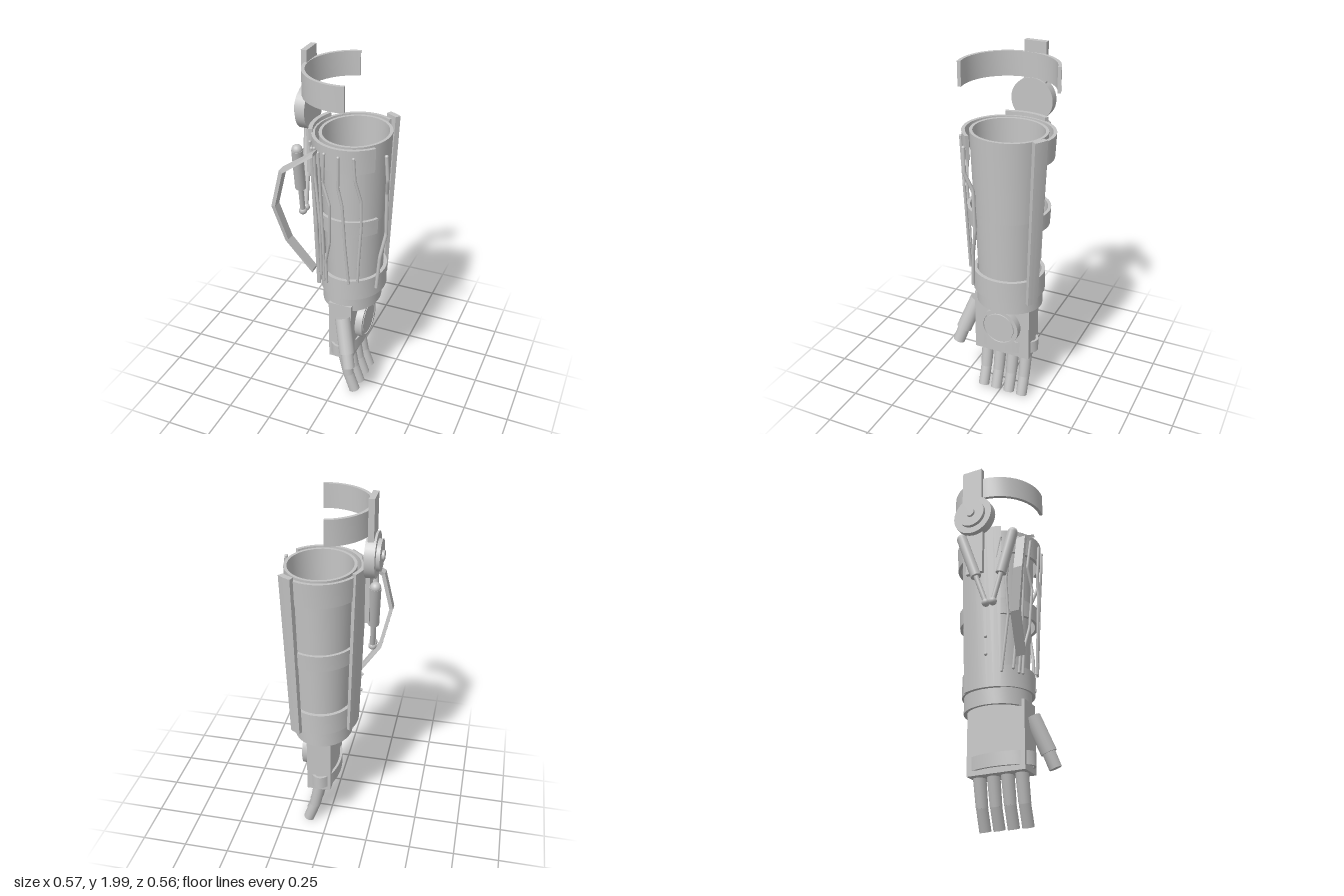
import * as THREE from 'three';
import { toCreasedNormals } from 'three/addons/utils/BufferGeometryUtils.js';

const CX = 0.055, CZ = -0.03;
const grey = new THREE.MeshStandardMaterial({ color: 0xc3c3c3 });
grey.name = 'plain grey';

// Taper of the forearm: 1 at the elbow end, smaller at the wrist
const taper = (y, low = 0.82) => low + (1 - low) * (y - 0.7) / 0.91;

export function createModel() {
  const model = new THREE.Group();
  model.name = 'mechanicalForearm';

  function add(name, geometry, x = 0, y = 0, z = 0) {
    const mesh = new THREE.Mesh(geometry, grey);
    mesh.name = name;
    mesh.position.set(x, y, z);
    model.add(mesh);
    return mesh;
  }

  function box(name, x0, x1, y0, y1, z0, z1) {
    add(name, new THREE.BoxGeometry(x1 - x0, y1 - y0, z1 - z0),
      (x0 + x1) / 2, (y0 + y1) / 2, (z0 + z1) / 2);
  }

  // Elliptical shell standing upright; angles in degrees, 0 = +x, 90 = +z
  function shell(name, { rx, rz, t, y0, y1, a0 = 0, a1 = 360, low = 1, cx = CX, cz = CZ }) {
    const full = a1 - a0 >= 360;
    const n = Math.max(6, Math.round((a1 - a0) / 9));
    const arc = (d) => Array.from({ length: full ? n : n + 1 }, (_, i) => {
      const a = THREE.MathUtils.degToRad(a0 + (a1 - a0) * i / n);
      return new THREE.Vector2((rx - d) * Math.cos(a), -(rz - d) * Math.sin(a));
    });
    const inner = arc(t).reverse();
    const shape = new THREE.Shape(full ? arc(0) : [...arc(0), ...inner]);
    if (full) shape.holes.push(new THREE.Path(inner));
    const geo = new THREE.ExtrudeGeometry(shape, { depth: y1 - y0, bevelEnabled: false });
    geo.rotateX(-Math.PI / 2);
    const p = geo.attributes.position;
    for (let i = 0; i < p.count; i++) {
      const y = p.getY(i) + y0, s = taper(y, low);
      p.setXYZ(i, cx + p.getX(i) * s, y, cz + p.getZ(i) * s);
    }
    add(name, toCreasedNormals(geo, 0.6));
  }

  // Straight cylinder between two points
  function rod(name, a, b, r, r2 = r, sides = 16) {
    const from = new THREE.Vector3(...a), to = new THREE.Vector3(...b);
    const dir = to.clone().sub(from);
    const mesh = add(name, new THREE.CylinderGeometry(r2, r, dir.length(), sides));
    mesh.position.copy(from).addScaledVector(dir, 0.5);
    mesh.quaternion.setFromUnitVectors(new THREE.Vector3(0, 1, 0), dir.normalize());
  }
  const ball = (name, p, r) => add(name, new THREE.SphereGeometry(r, 16, 12), ...p);

  // Forearm sleeve in two lengths
  shell('lowerSleeve', { rx: 0.182, rz: 0.2, t: 0.015, y0: 0.7, y1: 1.16, low: 0.82 });
  shell('upperSleeve', { rx: 0.185, rz: 0.203, t: 0.016, y0: 1.16, y1: 1.61, low: 0.82 });

  // Open bands around the sleeve
  shell('upperBand', { rx: 0.222, rz: 0.243, t: 0.018, y0: 1.48, y1: 1.61, a0: 41, a1: 302, low: 0.82 });
  shell('middleBand', { rx: 0.222, rz: 0.243, t: 0.018, y0: 1.11, y1: 1.2, a0: 32, a1: 302, low: 0.82 });

  // Wrist rings
  shell('lowerRing', { rx: 0.18, rz: 0.198, t: 0.02, y0: 0.7, y1: 0.82, cx: 0.05 });
  shell('wristRing', { rx: 0.16, rz: 0.185, t: 0.016, y0: 0.61, y1: 0.7, cx: 0.042 });

  // Long curved plates at the side and the back
  shell('sidePlate', { rx: 0.236, rz: 0.256, t: 0.022, y0: 0.69, y1: 1.63, a0: 153, a1: 210, low: 0.88 });
  shell('backPlate', { rx: 0.262, rz: 0.266, t: 0.03, y0: 0.69, y1: 1.63, a0: 291, a1: 308, low: 0.82 });
  for (const y of [0.87, 0.97]) ball('rivet', [-0.158 - (y - 0.87) * 0.04, y, 0], 0.009);

  // Upper arm cuff, hinge and bars
  shell('armCuff', { rx: 0.255, rz: 0.258, t: 0.018, y0: 1.81, y1: 1.94, a0: 78, a1: 256, cx: 0.045, cz: -0.022 });
  box('cuffBar', -0.225, -0.195, 1.7, 2, -0.12, 0);
  box('hingeBar', -0.208, -0.185, 1.34, 1.7, -0.1, 0);
  const hinge = [['hingeDisc', -0.237, -0.185, 0.116], ['hingeCap', -0.257, -0.237, 0.08],
    ['hingePin', -0.27, -0.257, 0.025]];
  for (const [name, x0, x1, r] of hinge) {
    rod(name, [x0, 1.695, -0.049], [x1, 1.695, -0.049], r, r, 40);
  }

  // Two struts meeting low on the side
  const struts = [
    [[-0.238, 1.55, -0.11], [-0.21, 1.14, 0.025]],
    [[-0.18, 1.55, 0.17], [-0.208, 1.14, 0.065]],
  ];
  for (const [a, b] of struts) {
    const mid = a.map((v, i) => v + (b[i] - v) * 0.6);
    ball('strutTopJoint', a, 0.028);
    rod('strutCylinder', a, mid, 0.029);
    rod('strutRod', mid, b, 0.014);
    ball('strutEndJoint', b, 0.022);
  }

  // Bowed flat handle: profile extruded, then bulged forward
  const outer = [[-0.06, 1.585], [-0.235, 1.47], [-0.285, 1.26], [-0.235, 1.04], [-0.1, 0.85]];
  const inner = [[-0.095, 0.872], [-0.217, 1.05], [-0.265, 1.26], [-0.217, 1.457], [-0.06, 1.565]];
  const handle = new THREE.ExtrudeGeometry(
    new THREE.Shape([...outer, ...inner].map(([x, y]) => new THREE.Vector2(x, y))),
    { depth: 0.05, bevelEnabled: false });
  const hp = handle.attributes.position;
  for (let i = 0; i < hp.count; i++) {
    const u = THREE.MathUtils.clamp((hp.getY(i) - 0.85) / 0.735, 0, 1);
    hp.setZ(i, hp.getZ(i) + 0.147 + 0.045 * u + 0.052 * Math.sin(Math.PI * u ** 1.5));
  }
  handle.computeVertexNormals();
  add('sideHandle', handle);

  // Cables lying over the front of the sleeve
  function cable(points, r) {
    const path = new THREE.CurvePath();
    const v = points.map((p) => new THREE.Vector3(...p));
    for (let i = 1; i < v.length; i++) path.add(new THREE.LineCurve3(v[i - 1], v[i]));
    add('cable', new THREE.TubeGeometry(path, 40, r, 8));
    for (const p of [points[0], points[points.length - 1]]) ball('cableEnd', p, r);
  }
  const runs = [
    [[-0.15, 1.56], [-0.155, 1.3], [-0.14, 1.05], [-0.135, 0.78]],
    [[-0.12, 1.55], [-0.125, 1.3], [-0.11, 1.1], [-0.115, 0.78]],
    [[-0.09, 1.57], [-0.095, 1.4], [-0.07, 1.15], [-0.08, 0.8]],
    [[-0.06, 1.56], [-0.055, 1.3], [-0.05, 1.0], [-0.055, 0.78]],
    [[-0.02, 1.57], [-0.035, 1.4], [0.005, 1.28], [-0.005, 1.05], [-0.035, 0.92], [-0.035, 0.78]],
    [[0.06, 1.57], [0.055, 1.4], [0.075, 1.3], [0.085, 1.05], [0.1, 0.82]],
    [[0.135, 1.57], [0.14, 1.45], [0.165, 1.33], [0.165, 1.18], [0.15, 0.95], [0.145, 0.83]],
  ];
  for (const run of runs) {
    cable(run.map(([x, y]) => {
      const s = taper(y), u = Math.min(0.97, Math.abs(x - CX) / (0.232 * s));
      return [x, y, CZ + 0.249 * s * Math.sqrt(1 - u * u)];
    }), 0.008);
  }
  cable([[0.272, 1.57, 0.115], [0.28, 1.44, 0.11], [0.264, 1.34, 0.07], [0.264, 1.1, 0.065],
    [0.242, 0.97, 0.09], [0.23, 0.78, 0.1]], 0.01);

  // Hand with an oval knuckle band
  box('palm', -0.025, 0.108, 0.275, 0.645, -0.175, 0.155);
  shell('knuckleBand', { rx: 0.088, rz: 0.193, t: 0.014, y0: 0.302, y1: 0.375, cx: 0.036, cz: -0.008 });

  // Round boss on the palm with a grooved face
  const profile = [[0.113, 0], [0.113, 0.042], [0.096, 0.042], [0.095, 0.035],
    [0.087, 0.035], [0.086, 0.042], [0, 0.042]].map(([r, h]) => new THREE.Vector2(r, h));
  const boss = toCreasedNormals(new THREE.LatheGeometry(profile, 40), 0.5);
  add('palmBoss', boss, 0.107, 0.47, -0.012).rotation.z = -Math.PI / 2;

  // Fingers
  for (let i = 0; i < 4; i++) {
    const z = 0.105 - 0.08 * i;
    rod('fingerUpper', [0.042, 0.29, z], [0.073, 0.13, z], 0.035, 0.032);
    ball('fingerJoint', [0.073, 0.13, z], 0.031);
    rod('fingerTip', [0.073, 0.13, z], [0.112, 0.018, z], 0.031);
  }

  // Thumb
  rod('thumbUpper', [0.06, 0.57, 0.16], [0.113, 0.385, 0.225], 0.043);
  rod('thumbTip', [0.113, 0.385, 0.225], [0.134, 0.305, 0.25], 0.034);

  return model;
}
